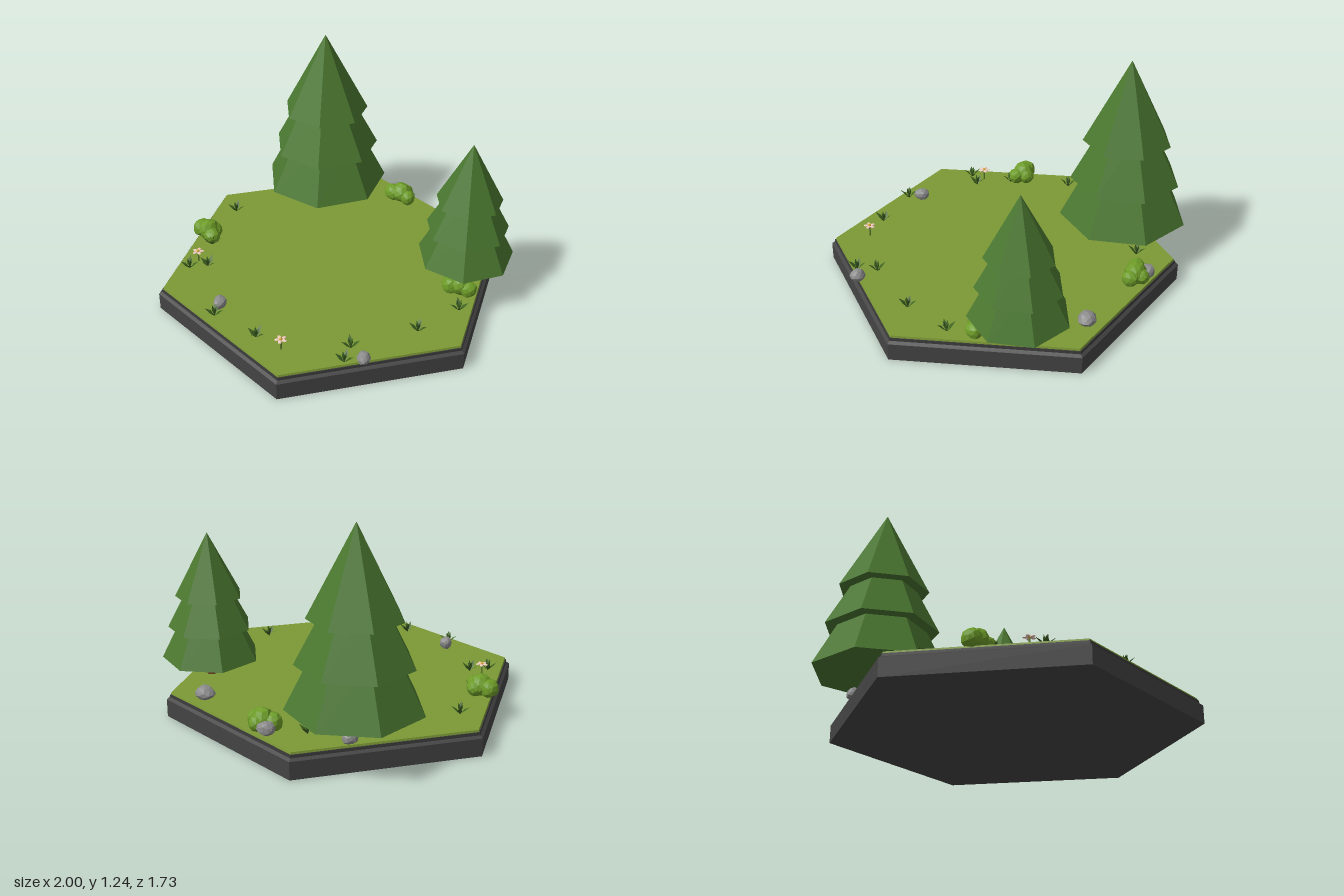
import * as THREE from 'three';

const mat = (color, side = THREE.FrontSide) =>
  new THREE.MeshStandardMaterial({ color, flatShading: true, side });
const M = {
  stone: mat(0x444444), trim: mat(0x3a3a3a), turf: mat(0x7d9a35),
  needles: mat(0x4a772f), bark: mat(0x6b3820),
  bush: mat(0x6d9c28), rock: mat(0x8c8c8c),
  blade: mat(0x3f6322, THREE.DoubleSide), stem: mat(0x5b7a2c),
  petal: mat(0xf0cdbd, THREE.DoubleSide), heart: mat(0xd9a835),
};
const GROUND = 0.14;

function add(parent, name, geometry, material, x = 0, y = 0, z = 0) {
  const mesh = new THREE.Mesh(geometry, material);
  mesh.name = name;
  mesh.position.set(x, y, z);
  parent.add(mesh);
  return mesh;
}

function group(parent, name, x, z, turn = 0) {
  const g = new THREE.Group();
  g.name = name;
  g.position.set(x, GROUND, z);
  g.rotation.y = turn;
  parent.add(g);
  return g;
}

// Prism or frustum standing on y0, with a corner on the x axis
function frustum(parent, name, material, rTop, rBottom, y0, y1, sides) {
  const geo = new THREE.CylinderGeometry(rTop, rBottom, y1 - y0, sides, 1, false, Math.PI / 2);
  return add(parent, name, geo, material, 0, (y0 + y1) / 2, 0);
}

// Faceted blob, its corners pushed in and out by a repeatable rule
function blob(radius, detail, seed, amount) {
  const geo = new THREE.IcosahedronGeometry(radius, detail);
  const p = geo.attributes.position;
  const v = new THREE.Vector3();
  for (let i = 0; i < p.count; i++) {
    v.fromBufferAttribute(p, i);
    const n = v.clone().divideScalar(radius);
    const wave = Math.sin(n.x * 5.1 + seed) + Math.sin(n.y * 6.3 + seed * 2) + Math.sin(n.z * 4.7 - seed);
    v.multiplyScalar(1 + (amount * wave) / 3);
    p.setXYZ(i, v.x, v.y, v.z);
  }
  geo.computeVertexNormals();
  return geo;
}

// Three overlapping seven-sided skirts on a short trunk
function tree(parent, name, x, z, s) {
  const g = group(parent, name, x, z);
  g.scale.setScalar(s);
  frustum(g, 'trunk', M.bark, 0.04, 0.047, 0, 0.2, 7);
  const tiers = [[0.365, 0.2, 0.14, 0.47], [0.312, 0.14, 0.38, 0.71], [0.25, 0, 0.62, 1.1]];
  for (const [rBottom, rTop, y0, y1] of tiers)
    frustum(g, 'foliageTier', M.needles, rTop, rBottom, y0, y1, 7);
}

function bush(parent, x, z, turn, seed) {
  const g = group(parent, 'bush', x, z, turn);
  const lumps = [[0, 0.05, 0, 0.062], [-0.05, 0.042, 0.015, 0.053], [0.052, 0.038, 0.012, 0.048], [0.01, 0.038, -0.035, 0.046]];
  lumps.forEach(([lx, ly, lz, r], i) =>
    add(g, 'leafClump', blob(r, 1, seed + i, 0.1), M.bush, lx, ly, lz));
}

function rock(parent, x, z, rx, ry, rz, seed) {
  const mesh = add(parent, 'rock', blob(1, 1, seed, 0.14), M.rock, x, GROUND + ry * 0.85, z);
  mesh.scale.set(rx, ry, rz);
  mesh.rotation.y = seed * 0.2;
}

// One pointed leaf leaning along +x, bent once in the middle
function bladeGeometry(reach, height, width) {
  const geo = new THREE.BufferGeometry();
  const mx = reach * 0.45, my = height * 0.55;
  geo.setAttribute('position', new THREE.Float32BufferAttribute([
    0, 0, 0, mx, my, width, reach, height, 0, mx, my, -width], 3));
  geo.setIndex([0, 1, 3, 1, 2, 3]);
  geo.computeVertexNormals();
  return geo;
}

function tuft(parent, x, z, turn) {
  const g = group(parent, 'grassTuft', x, z, turn);
  for (let i = 0; i < 4; i++) {
    const leaf = add(g, 'grassBlade', bladeGeometry(0.05, 0.045 + 0.008 * (i % 2), 0.014), M.blade);
    leaf.rotation.y = (i * Math.PI) / 2;
    const inner = add(g, 'innerBlade', bladeGeometry(0.016, 0.062, 0.009), M.blade);
    inner.rotation.y = ((i + 0.5) * Math.PI) / 2;
  }
}

function flower(parent, x, z, turn) {
  const g = group(parent, 'flower', x, z, turn);
  add(g, 'stem', new THREE.CylinderGeometry(0.004, 0.005, 0.066, 5), M.stem, 0, 0.033, 0);
  for (let i = 0; i < 5; i++) {
    const a = (i * Math.PI * 2) / 5;
    const petal = add(g, 'petal', new THREE.IcosahedronGeometry(1, 0), M.petal,
      Math.cos(a) * 0.02, 0.067, Math.sin(a) * 0.02);
    petal.scale.set(0.016, 0.005, 0.011);
    petal.rotation.y = -a;
  }
  add(g, 'flowerCentre', new THREE.IcosahedronGeometry(0.01, 0), M.heart, 0, 0.07, 0);
}

export function createModel() {
  const model = new THREE.Group();
  model.name = 'forestTile';

  // Hexagonal plinth: slab, stepped rim and turf
  frustum(model, 'baseSlab', M.stone, 1, 1, 0, 0.1, 6);
  frustum(model, 'baseBevel', M.stone, 0.982, 1, 0.1, 0.112, 6);
  frustum(model, 'baseRim', M.trim, 0.98, 0.982, 0.112, 0.128, 6);
  frustum(model, 'turf', M.turf, 0.972, 0.975, 0.128, GROUND, 6);

  tree(model, 'largeTree', -0.55, -0.46, 1);
  tree(model, 'smallTree', 0.55, -0.51, 0.75);

  bush(model, -0.7, 0.35, -0.1, 1);
  bush(model, -0.19, -0.765, 0.2, 4);
  bush(model, 0.665, -0.34, 0.4, 7);

  // x, z and the three radii
  const rocks = [
    [0.295, -0.76, 0.058, 0.04, 0.048], [-0.255, -0.8, 0.052, 0.038, 0.042],
    [-0.14, 0.715, 0.036, 0.037, 0.045], [0.715, 0.46, 0.035, 0.036, 0.044],
    [-0.62, -0.57, 0.042, 0.036, 0.038],
  ];
  rocks.forEach((r, i) => rock(model, ...r, i + 1));

  const tufts = [
    [-0.79, 0.07], [-0.62, 0.39], [-0.47, 0.54], [-0.53, 0.625], [-0.1, 0.785], [0.19, 0.735],
    [0.59, 0.43], [0.645, 0.53], [0.74, 0.08], [0.775, -0.21], [-0.4, -0.65],
  ];
  tufts.forEach(([x, z], i) => tuft(model, x, z, 0.6 + 0.35 * Math.sin(i * 2.3)));

  flower(model, 0.35, 0.7, 0.3);
  flower(model, -0.55, 0.545, 0.9);

  return model;
}
